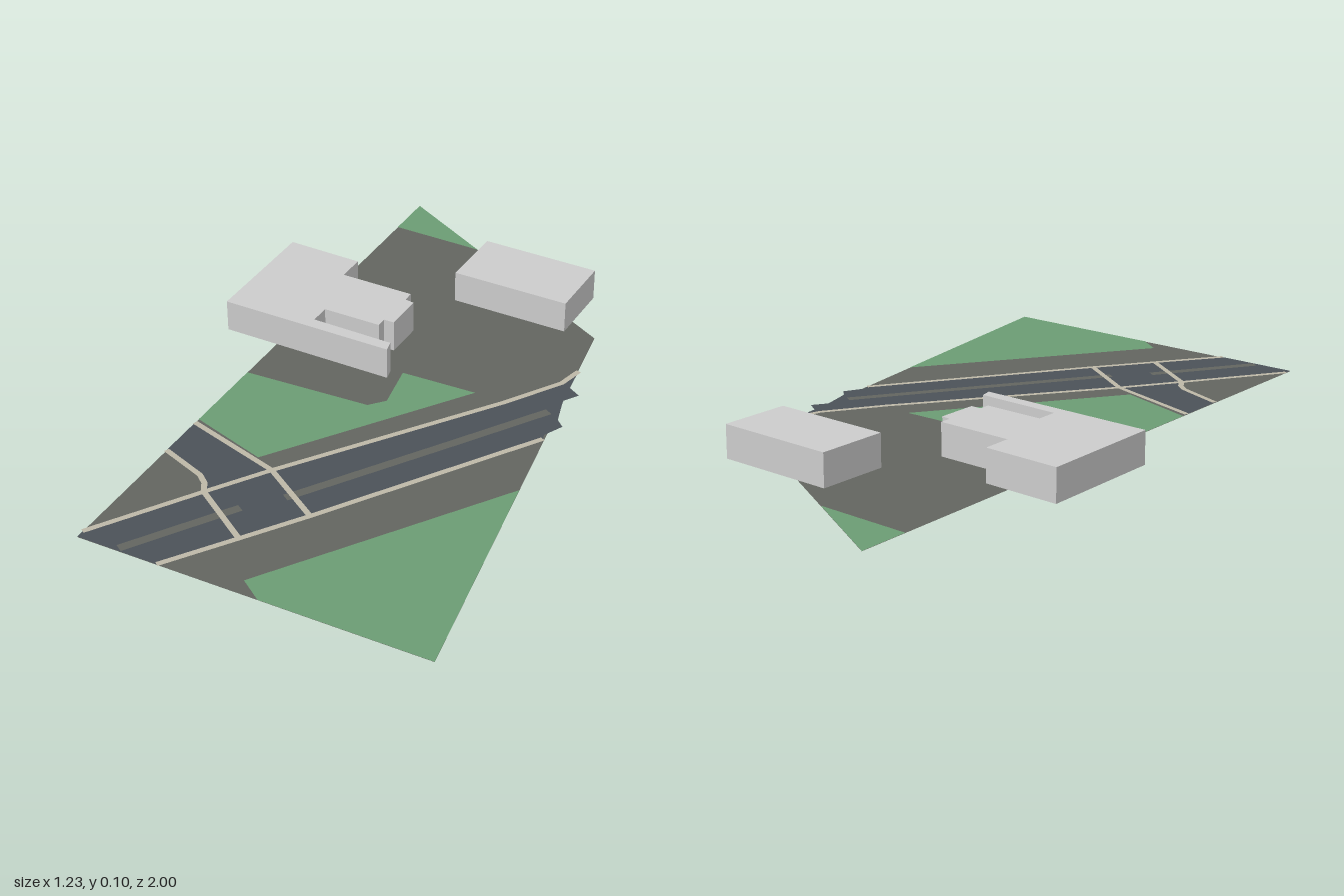
import * as THREE from 'three';

const GRASS = 0x6b9c73, PAVING = 0x62655f, ROAD = 0x4b5158, KERB = 0xbdb7a7, GREY = 0xcccccc;

// Outline given as [x, z] pairs; shape y is -z so it can be laid flat afterwards
const outline = pts => new THREE.Shape(pts.map(([x, z]) => new THREE.Vector2(x, -z)));

function addMesh(group, name, geometry, color, y) {
  geometry.rotateX(-Math.PI / 2);
  const material = new THREE.MeshStandardMaterial({ color, side: THREE.DoubleSide });
  const mesh = new THREE.Mesh(geometry, material);
  mesh.name = name;
  mesh.position.y = y;
  group.add(mesh);
}

// Outline of a strip of constant width along a polyline, mitred at the bends
function strip(pts, width) {
  const p = pts.map(([x, z]) => new THREE.Vector2(x, z));
  const left = [], right = [];
  p.forEach((c, i) => {
    const a = c.clone().sub(p[i - 1] ?? c).normalize();
    const b = (p[i + 1] ?? c).clone().sub(c).normalize();
    const d = a.add(b).normalize();
    const nx = -d.y * width / 2, nz = d.x * width / 2;
    left.push([c.x + nx, c.y + nz]);
    right.unshift([c.x - nx, c.y - nz]);
  });
  return [...left, ...right];
}

export function createModel() {
  const model = new THREE.Group();
  model.name = 'siteModel';
  const flat = (name, pts, color, y) =>
    addMesh(model, name, new THREE.ShapeGeometry(outline(pts)), color, y);
  const block = (name, pts) => addMesh(model, name,
    new THREE.ExtrudeGeometry(outline(pts), { depth: 0.1, bevelEnabled: false }), GREY, 0.004);

  // Ground plate
  flat('ground', [[-0.445, -1], [0.395, -0.52], [0.615, 1], [-0.445, 1]], PAVING, 0);

  // Lawns
  flat('backLawn', [[-0.445, -1], [-0.148, -0.83], [-0.445, -0.84]], GRASS, 0.001);
  flat('middleLawn', [[-0.035, -0.085], [0.2, -0.09], [-0.2, 0.475], [-0.445, 0.395],
    [-0.445, 0.125], [-0.05, 0.11], [-0.01, 0.065]], GRASS, 0.001);
  flat('frontLawn', [[0.51, 0.275], [0.615, 1], [0.11, 1], [0.04, 0.95]], GRASS, 0.001);

  // Main road, with a ragged far end, and the side road joining it
  const nearEdge = [[0.425, -0.33], [0.405, -0.25], [0.295, -0.08], [-0.135, 0.51],
    [-0.25, 0.68], [-0.445, 0.975]];
  const farEdge = [[0.47, 0.03], [0.06, 0.64], [-0.06, 0.81], [-0.195, 1]];
  flat('mainRoad', [...nearEdge, [-0.445, 1], ...farEdge.slice().reverse(),
    [0.465, 0.01], [0.495, -0.05], [0.47, -0.075], [0.455, -0.13], [0.445, -0.17],
    [0.475, -0.215], [0.435, -0.24]], ROAD, 0.0015);
  const sideUpper = [[-0.445, 0.415], [-0.135, 0.51]];
  const sideLower = [[-0.445, 0.565], [-0.3, 0.62], [-0.27, 0.645], [-0.25, 0.68]];
  flat('sideRoad', [...sideUpper, ...sideLower.slice().reverse()], ROAD, 0.0015);

  // Central strips of the main road
  flat('longMedian', strip([[0.43, -0.1], [0.25, 0.17], [-0.04, 0.6]], 0.028), PAVING, 0.002);
  flat('shortMedian', strip([[-0.125, 0.695], [-0.32, 0.99]], 0.028), PAVING, 0.002);

  // Kerb lines and the two crossing lines
  const kerbs = {
    nearKerb: nearEdge,
    farKerb: farEdge,
    sideUpperKerb: sideUpper,
    sideLowerKerb: sideLower,
    upperCrossing: [[-0.135, 0.51], [0.06, 0.64]],
    lowerCrossing: [[-0.25, 0.68], [-0.06, 0.81]],
  };
  for (const [name, pts] of Object.entries(kerbs)) flat(name, strip(pts, 0.017), KERB, 0.0025);

  // Notched large building overhanging the left boundary
  block('largeBuilding', [[-0.615, -0.445], [-0.375, -0.435], [-0.375, -0.345], [-0.14, -0.34],
    [-0.14, -0.305], [-0.11, -0.3], [-0.112, -0.175], [-0.145, -0.175], [-0.145, -0.142],
    [-0.33, -0.145], [-0.33, -0.08], [-0.07, -0.072], [-0.062, -0.036], [-0.615, -0.046]]);

  // Plain small building at the back
  block('smallBuilding', [[-0.07, -0.735], [0.304, -0.725], [0.3, -0.507], [-0.075, -0.515]]);

  return model;
}
